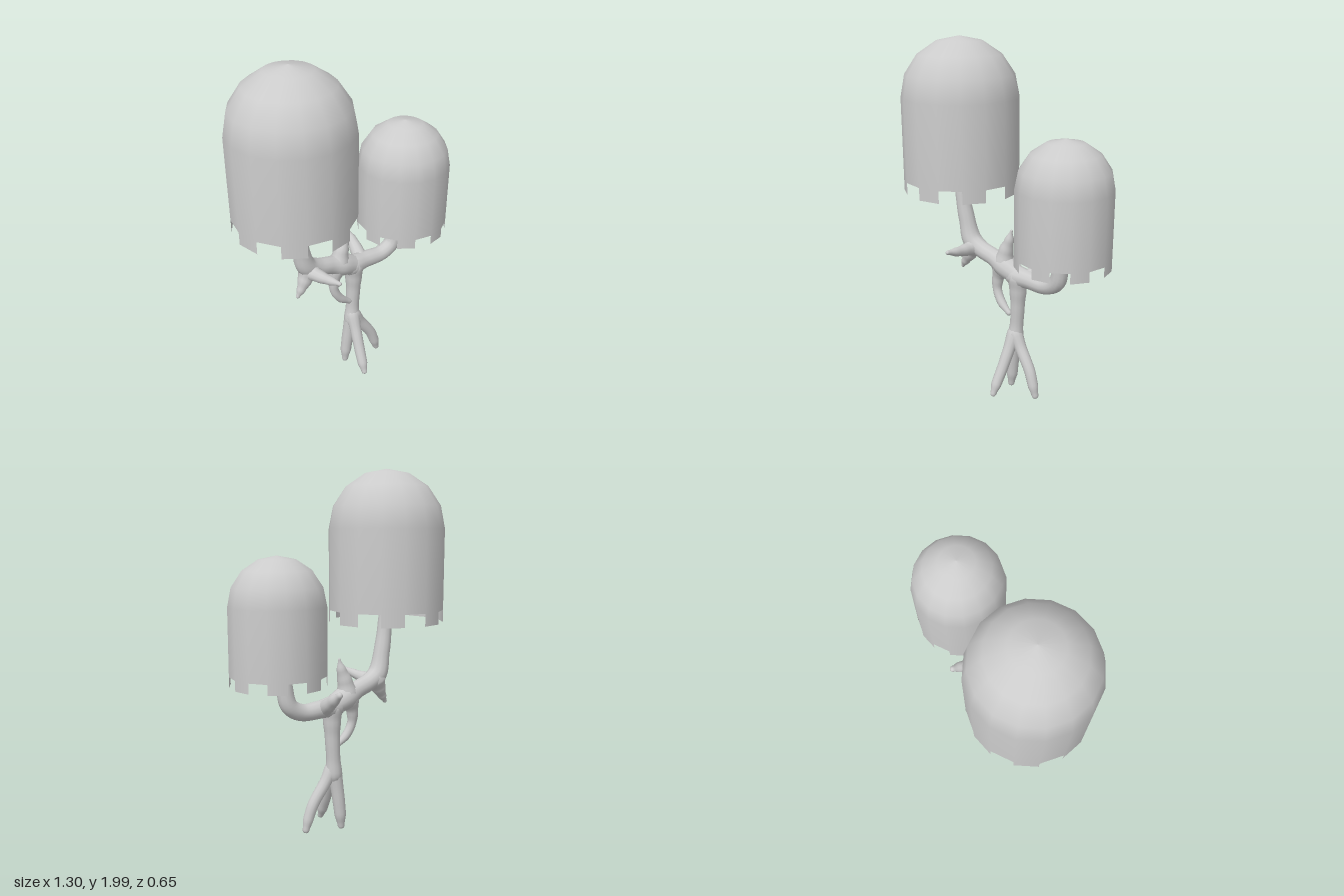
import * as THREE from 'three';

const skin = new THREE.MeshStandardMaterial({ color: 0xcccccc });
const shell = new THREE.MeshStandardMaterial({ color: 0xcccccc, side: THREE.DoubleSide });

// Round tapered limb through stations [x, y, z, radius], with domed ends.
function limb(name, stations, sides = 12) {
  const curve = new THREE.CatmullRomCurve3(stations.map(s => new THREE.Vector3(s[0], s[1], s[2])));
  const steps = (stations.length - 1) * 5;
  const last = stations.length - 1;
  const radiusAt = t => {
    const i = Math.min(Math.floor(t * last), last - 1);
    const f = THREE.MathUtils.smoothstep(t * last - i, 0, 1);
    return THREE.MathUtils.lerp(stations[i][3], stations[i + 1][3], f);
  };
  // Rings: start dome, body, end dome
  const rings = [];
  const dome = [0.02, 0.4, 0.75, 1.1];
  const addDome = (t, sign, angles) => angles.forEach(a => {
    const r = radiusAt(t);
    rings.push({ t, r: r * Math.sin(a), shift: sign * r * Math.cos(a) });
  });
  addDome(0, -1, dome);
  for (let i = 0; i <= steps; i++) rings.push({ t: i / steps, r: radiusAt(i / steps), shift: 0 });
  addDome(1, 1, dome.slice().reverse());

  const pos = [], index = [];
  const side = new THREE.Vector3();
  let prev = null;
  rings.forEach((ring, k) => {
    const c = curve.getPoint(ring.t);
    const tan = curve.getTangent(ring.t);
    // Carry the side vector along so the rings do not twist
    if (!prev) side.set(tan.y, tan.z, tan.x);
    side.addScaledVector(tan, -side.dot(tan)).normalize();
    prev = tan;
    const up = new THREE.Vector3().crossVectors(tan, side);
    c.addScaledVector(tan, ring.shift);
    for (let j = 0; j < sides; j++) {
      const a = j / sides * Math.PI * 2;
      const p = c.clone().addScaledVector(side, ring.r * Math.cos(a)).addScaledVector(up, ring.r * Math.sin(a));
      pos.push(p.x, p.y, p.z);
      if (k > 0) {
        const n = (j + 1) % sides, A = (k - 1) * sides, B = k * sides;
        index.push(A + j, A + n, B + j, A + n, B + n, B + j);
      }
    }
  });
  const geo = new THREE.BufferGeometry();
  geo.setAttribute('position', new THREE.Float32BufferAttribute(pos, 3));
  geo.setIndex(index);
  geo.computeVertexNormals();
  const mesh = new THREE.Mesh(geo, skin);
  mesh.name = name;
  return mesh;
}

// Open domed cap with eight square teeth around its rim.
function cap(name, x, bottom, top, r) {
  const g = new THREE.Group();
  g.name = name;
  const tooth = r * 0.215;
  const profile = [new THREE.Vector2(r, bottom + tooth)];
  for (let i = 0; i <= 4; i++) {
    const a = i * Math.PI / 8;
    profile.push(new THREE.Vector2(i === 4 ? 0 : r * Math.cos(a), top - r + r * Math.sin(a)));
  }
  const dome = new THREE.Mesh(new THREE.LatheGeometry(profile, 16), shell);
  dome.name = name + 'Dome';
  g.add(dome);
  for (let k = 0; k < 8; k++) {
    const t = new THREE.Mesh(
      new THREE.CylinderGeometry(r, r, tooth, 1, 1, true, k * Math.PI / 4, Math.PI / 8), shell);
    t.position.y = bottom + tooth / 2;
    t.name = name + 'Tooth';
    g.add(t);
  }
  g.position.x = x;
  return g;
}

export function createModel() {
  const model = new THREE.Group();
  model.name = 'cappedTree';

  model.add(cap('largeCap', -0.33, 1.155, 2.0, 0.325));
  model.add(cap('smallCap', 0.395, 0.875, 1.54, 0.255));

  // Trunk and three roots
  model.add(limb('trunk', [
    [0.055, 0.33, -0.02, 0.048], [0.062, 0.43, -0.025, 0.039], [0.068, 0.55, -0.025, 0.042],
    [0.07, 0.64, -0.025, 0.05], [0.07, 0.715, -0.025, 0.06]]));
  model.add(limb('backRoot', [
    [0.055, 0.37, -0.02, 0.042], [0.035, 0.22, -0.03, 0.036], [0.022, 0.1, -0.035, 0.033], [0.015, 0.025, -0.035, 0.02]]));
  model.add(limb('leftRoot', [
    [0.06, 0.37, -0.015, 0.042], [0.11, 0.285, -0.01, 0.034], [0.18, 0.18, 0, 0.032],
    [0.21, 0.1, 0.005, 0.03], [0.227, 0.04, 0.005, 0.02]]));
  model.add(limb('frontRoot', [
    [0.055, 0.37, -0.015, 0.042], [0.048, 0.27, 0.03, 0.034], [0.04, 0.17, 0.075, 0.032],
    [0.033, 0.09, 0.115, 0.03], [0.03, 0.035, 0.14, 0.018]]));

  // Branches carrying the caps
  model.add(limb('leftBranch', [
    [0.05, 0.72, -0.025, 0.06], [0.16, 0.715, -0.03, 0.05], [0.27, 0.715, -0.025, 0.046],
    [0.345, 0.76, -0.02, 0.046], [0.368, 0.85, -0.015, 0.044], [0.37, 0.98, -0.01, 0.034]]));
  model.add(limb('rightBranch', [
    [0.08, 0.715, -0.025, 0.055], [-0.02, 0.755, -0.025, 0.066], [-0.11, 0.79, -0.02, 0.05],
    [-0.19, 0.815, -0.015, 0.05], [-0.265, 0.86, -0.01, 0.056], [-0.3, 0.98, -0.005, 0.047],
    [-0.325, 1.12, 0, 0.042], [-0.335, 1.31, 0, 0.03]]));

  // Twigs and thorns
  model.add(limb('upperThorn', [
    [-0.035, 0.77, -0.025, 0.06], [-0.02, 0.845, -0.025, 0.043], [0.003, 0.91, -0.025, 0.028], [0.02, 0.972, -0.025, 0.008]]));
  model.add(limb('backTwig', [
    [0.13, 0.715, -0.03, 0.048], [0.145, 0.745, -0.09, 0.04], [0.152, 0.785, -0.15, 0.032], [0.152, 0.82, -0.2, 0.018]]));
  model.add(limb('hookedTwig', [
    [-0.05, 0.75, -0.025, 0.055], [-0.075, 0.67, -0.02, 0.034], [-0.075, 0.6, -0.015, 0.026],
    [-0.04, 0.535, -0.01, 0.025], [0.02, 0.487, -0.005, 0.016]]));
  model.add(limb('frontThorn', [
    [-0.25, 0.82, -0.01, 0.052], [-0.24, 0.825, 0.07, 0.036], [-0.228, 0.838, 0.15, 0.026], [-0.22, 0.858, 0.232, 0.012]]));
  model.add(limb('lowerThorn', [
    [-0.25, 0.83, -0.01, 0.06], [-0.28, 0.775, -0.005, 0.042], [-0.31, 0.725, 0, 0.026], [-0.333, 0.688, 0, 0.012]]));

  return model;
}
